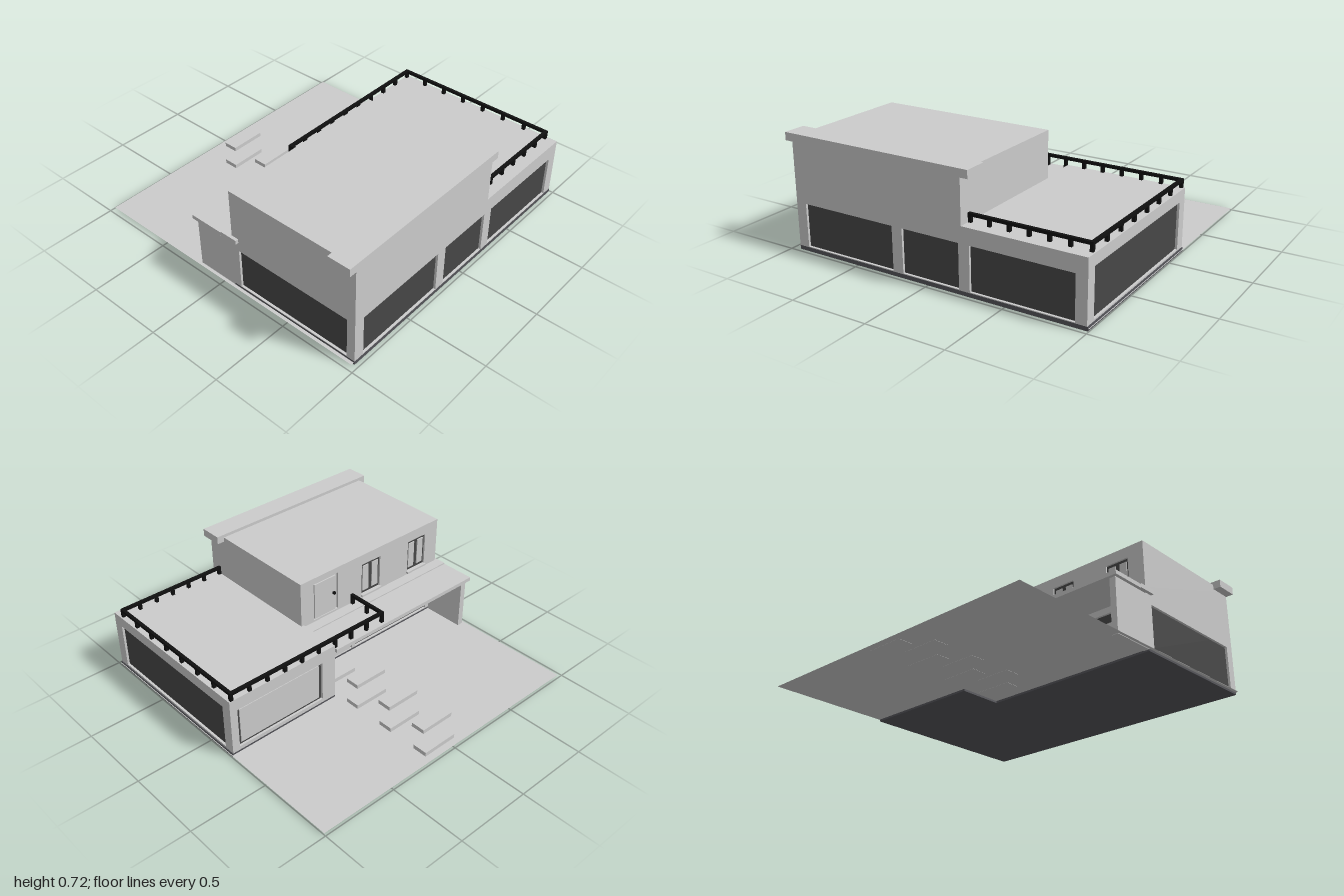
import * as THREE from 'three';

const mat = (color) => new THREE.MeshStandardMaterial({ color });
const WALL = mat(0xcccccc), GLASS = mat(0x474747), BASE = mat(0x55555a), RAIL = mat(0x101010);
const T = 0.015; // facade thickness

export function createModel() {
  const model = new THREE.Group();

  // box from its limits
  const box = (name, x0, x1, y0, y1, z0, z1, material = WALL) => {
    const m = new THREE.Mesh(new THREE.BoxGeometry(x1 - x0, y1 - y0, z1 - z0), material);
    m.position.set((x0 + x1) / 2, (y0 + y1) / 2, (z0 + z1) / 2);
    m.name = name;
    model.add(m);
    return m;
  };

  // wall sheet with rectangular openings; u runs to the right as seen from outside
  const facade = (name, angle, offset, [u0, u1, v0, v1], holes) => {
    const rect = (p, [a, b, c, d]) => p.moveTo(a, c).lineTo(b, c).lineTo(b, d).lineTo(a, d).closePath();
    const shape = rect(new THREE.Shape(), [u0, u1, v0, v1]);
    holes.forEach((h) => shape.holes.push(rect(new THREE.Path(), h)));
    const geo = new THREE.ExtrudeGeometry(shape, { depth: T, bevelEnabled: false });
    geo.translate(0, 0, offset - T).rotateY(angle);
    const m = new THREE.Mesh(geo, WALL);
    m.name = name;
    model.add(m);
  };
  const FRONT = 0, BACK = Math.PI, PLUS_X = Math.PI / 2, MINUS_X = -Math.PI / 2;

  // ground and stepping stones
  const ground = new THREE.Mesh(new THREE.PlaneGeometry(1.97, 1.96).rotateX(-Math.PI / 2),
    new THREE.MeshStandardMaterial({ color: 0xcccccc, side: THREE.DoubleSide }));
  ground.position.set(0.015, 0.013, -0.01);
  ground.name = 'ground';
  model.add(ground);
  for (let i = 0; i < 7; i++) {
    const x = i % 2 ? -0.18 : -0.05, z = -0.945 + i * 0.141;
    box('steppingStone', x, x + 0.24, 0.012, 0.04, z, z + 0.095);
  }

  // dark plinth, glazed cores and roof slabs of the ground floor
  box('mainPlinth', -0.95, 0.21, 0, 0.025, 0.08, 0.975, BASE);
  box('wingPlinth', 0.21, 0.995, 0, 0.025, -0.2, 0.975, BASE);
  box('mainGlazing', -0.95 + T, 0.21 + T, 0.02, 0.385, 0.08 + T, 0.975 - T, GLASS);
  box('wingGlazing', 0.21 + T, 0.99 - T, 0.02, 0.385, -0.2 + T, 0.975 - T, GLASS);
  box('mainRoof', -0.95, 0.21, 0.385, 0.4, 0.08, 0.975);
  box('wingRoof', 0.21, 0.99, 0.385, 0.4, -0.2, 0.975);

  // ground floor walls
  facade('frontWall', FRONT, 0.975, [-0.95, 0.99, 0.025, 0.385],
    [[-0.88, -0.24, 0.03, 0.3], [-0.17, 0.21, 0.03, 0.3], [0.28, 0.92, 0.03, 0.3]]);
  facade('leftWall', PLUS_X, 0.99, [-0.975, 0.2, 0.025, 0.385], [[-0.905, 0.13, 0.035, 0.33]]);
  facade('rightWall', MINUS_X, 0.95, [0.08, 0.975, 0.025, 0.385], [[0.13, 0.92, 0.03, 0.3]]);
  facade('wingBackWall', BACK, 0.2, [-0.99, -0.21, 0.025, 0.385], [[-0.94, -0.31, 0.05, 0.32]]);
  facade('porchSideWall', MINUS_X, -0.21, [-0.2, 0.08, 0.025, 0.385], [[-0.16, 0.07, 0.03, 0.33]]);
  facade('porchBackWall', BACK, -0.08, [-0.21, 0.95, 0.025, 0.385],
    [[-0.18, 0.19, 0.03, 0.32], [0.22, 0.88, 0.03, 0.32]]);
  box('wingBackPane', 0.33, 0.92, 0.065, 0.305, -0.19, -0.18);
  box('porchWindowPane', -0.72, -0.3, 0.06, 0.26, 0.085, 0.1);

  // double entrance door
  for (const x of [-0.18, 0.01]) {
    box('entranceDoor', x, x + 0.17, 0.03, 0.31, 0.084, 0.1);
    box('entranceHandle', x ? 0.015 : 0, 0.03, 0.15, 0.19, 0.075, 0.085, RAIL);
  }

  // porch canopy on its side wall
  box('canopyFront', -0.97, 0.21, 0.355, 0.38, -0.22, 0.01);
  box('canopyRear', -0.97, 0.21, 0.36, 0.387, 0.01, 0.08);
  box('canopyEnd', -0.97, -0.95, 0.36, 0.387, 0.08, 0.13);
  box('porchWall', -0.95, -0.91, 0.01, 0.355, -0.2, 0.08);

  // upper storey with its front parapet
  box('upperStorey', -0.95, 0.23, 0.4, 0.7, 0.08 + T, 0.975);
  box('parapet', -1, 0.28, 0.67, 0.72, 0.83, 0.977);
  const openings = [[-0.13, 0.07, 0.4, 0.66], [0.27, 0.43, 0.41, 0.63], [0.68, 0.84, 0.41, 0.63]];
  facade('upperBackWall', BACK, -0.08, [-0.23, 0.95, 0.385, 0.7], openings);
  box('balconyDoor', -0.055, 0.115, 0.4, 0.645, 0.086, 0.1);
  box('balconyDoorHandle', -0.045, -0.03, 0.52, 0.535, 0.07, 0.088, RAIL);
  for (const [u0, u1, v0, v1] of openings.slice(1)) {
    const mid = -(u0 + u1) / 2;
    box('windowGlass', -u1, -u0, v0, v1, 0.092, 0.1, GLASS);
    for (const x of [mid - 0.04, mid + 0.04])
      box('windowSash', x - 0.025, x + 0.025, v0 + 0.02, v1 - 0.02, 0.086, 0.1);
    box('windowSill', -u1 - 0.005, -u0 + 0.005, v0 - 0.012, v0, 0.065, 0.09);
  }

  // terrace railing: bars between corners, posts spaced along each run
  const R = 0.01;
  const railing = (x0, z0, x1, z1, posts) => {
    box('handrail', Math.min(x0, x1) - R, Math.max(x0, x1) + R, 0.437, 0.455,
      Math.min(z0, z1) - R, Math.max(z0, z1) + R, RAIL);
    for (let i = 0; i <= posts; i++) {
      const x = x0 + (x1 - x0) * i / posts, z = z0 + (z1 - z0) * i / posts;
      box('railPost', x - R, x + R, z < 0.08 && x < 0.2 ? 0.38 : 0.4, 0.445, z - R, z + R, RAIL);
    }
  };
  railing(0.97, 0.9, 0.24, 0.9, 6);
  railing(0.97, 0.9, 0.97, -0.19, 7);
  railing(0.97, -0.19, -0.185, -0.19, 9);
  railing(-0.185, -0.19, -0.185, 0.07, 2);

  return model;
}
